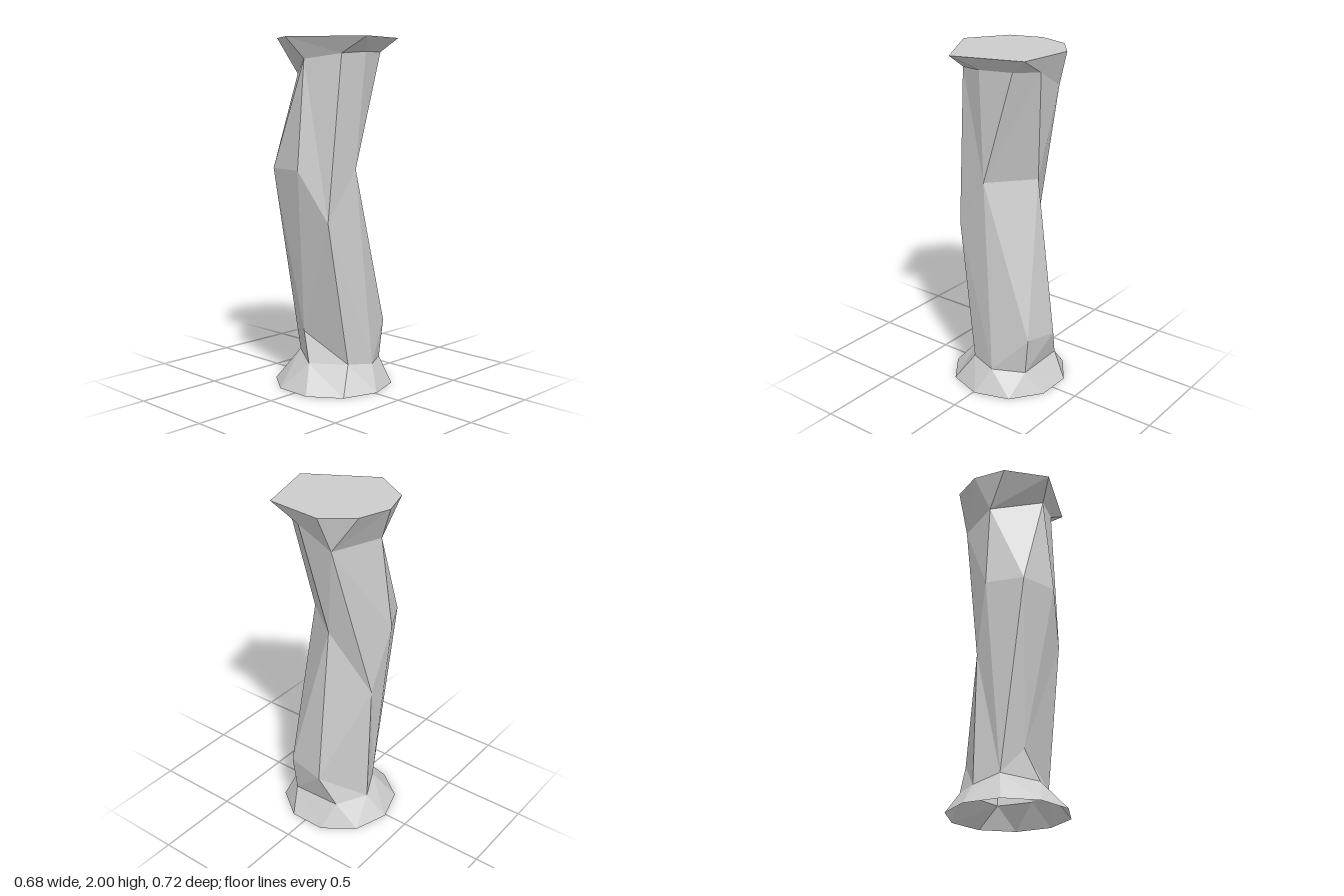
import * as THREE from 'three';

const v = (x, y, z) => new THREE.Vector3(x, y, z);

// Triangulates the strip between two polylines, always stepping to the smaller key.
function zip(a, b, keyA, keyB) {
  const tris = [];
  const add = (p, q, r) => { if (p !== q && q !== r && p !== r) tris.push(p, q, r); };
  let i = 0, j = 0;
  while (i < a.length - 1 || j < b.length - 1) {
    const stepA = j === b.length - 1 || (i < a.length - 1 && keyA[i + 1] <= keyB[j + 1]);
    if (stepA) { add(a[i], b[j], a[i + 1]); i++; }
    else { add(a[i], b[j], b[j + 1]); j++; }
  }
  return tris;
}

const heights = (line) => line.map((p) => p.y);

// Angles around the y axis, unwrapped so they always increase.
function angles(ring) {
  let last = -1;
  return ring.map((p) => {
    let t = Math.atan2(p.x, p.z);
    while (t < last) t += Math.PI * 2;
    return (last = t);
  });
}

// Band between two rings that have different numbers of corners.
function band(upper, lower) {
  const a = [...upper, upper[0]], b = [...lower, lower[0]];
  return zip(a, b, angles(a), angles(b));
}

function part(name, tris, material) {
  const mesh = new THREE.Mesh(new THREE.BufferGeometry().setFromPoints(tris), material);
  mesh.geometry.computeVertexNormals();
  mesh.name = name;
  return mesh;
}

export function createModel() {
  const group = new THREE.Group();
  group.name = 'column';
  const stone = new THREE.MeshStandardMaterial({
    color: 0xcccccc, flatShading: true, side: THREE.DoubleSide,
  });

  // Corners of the ankle (above the foot) and the neck (below the capital), from the front round by +x
  const ankle = [
    v(0.07, 0.14, 0.24), v(0.24, 0.13, 0.14), v(0.24, 0.14, -0.16), v(0.05, 0.13, -0.25),
    v(-0.09, 0.18, -0.19), v(-0.205, 0.15, 0), v(-0.09, 0.16, 0.2),
  ];
  const neck = [
    v(0, 1.92, 0.245), v(0.18, 1.92, 0.19), v(0.27, 1.91, 0.06), v(0.25, 1.8, -0.14),
    v(-0.05, 1.8, -0.245), v(-0.245, 1.88, 0.01), v(-0.145, 1.91, 0.2),
  ];

  // Crooked shaft: one polyline per edge, joined side by side
  const knee = v(-0.02, 1.27, 0.19);
  const edges = [
    [ankle[0], knee, neck[0]],
    [ankle[1], v(0.265, 0.35, 0.15), knee, neck[1]],
    [ankle[2], v(0.29, 0.32, -0.07), v(0.175, 1.265, -0.06), neck[2]],
    [ankle[3], v(0.03, 0.87, -0.255), neck[3]],
    [ankle[4], v(-0.08, 1.27, -0.305), neck[4]],
    [ankle[4], v(-0.28, 1.27, -0.205), neck[5]],
    [ankle[5], v(-0.165, 0.32, -0.08), v(-0.307, 1.27, 0.02), neck[5]],
    [ankle[6], v(-0.215, 0.98, 0.165), neck[6]],
  ];
  const shaft = edges.flatMap((edge, i) => {
    const next = edges[(i + 1) % edges.length];
    return zip(edge, next, heights(edge), heights(next));
  });
  group.add(part('shaft', shaft, stone));

  // Flared ten-sided foot, open underneath
  const foot = Array.from({ length: 10 }, (_, i) => {
    const t = (i * Math.PI) / 5;
    return v(0.01 + 0.345 * Math.sin(t), 0, -0.015 + 0.345 * Math.cos(t));
  });
  group.add(part('foot', band(ankle, foot), stone));

  // Irregular capital with a flat top
  const rim = [
    [-0.11, 0.355], [0.287, 0.23], [0.32, -0.105], [0.19, -0.27],
    [0, -0.33], [-0.187, -0.27], [-0.337, -0.04],
  ].map(([x, z]) => v(x, 2, z));
  group.add(part('capital', band(rim, neck), stone));
  const top = rim.slice(2).flatMap((p, i) => [rim[0], rim[i + 1], p]);
  group.add(part('capitalTop', top, stone));

  return group;
}
